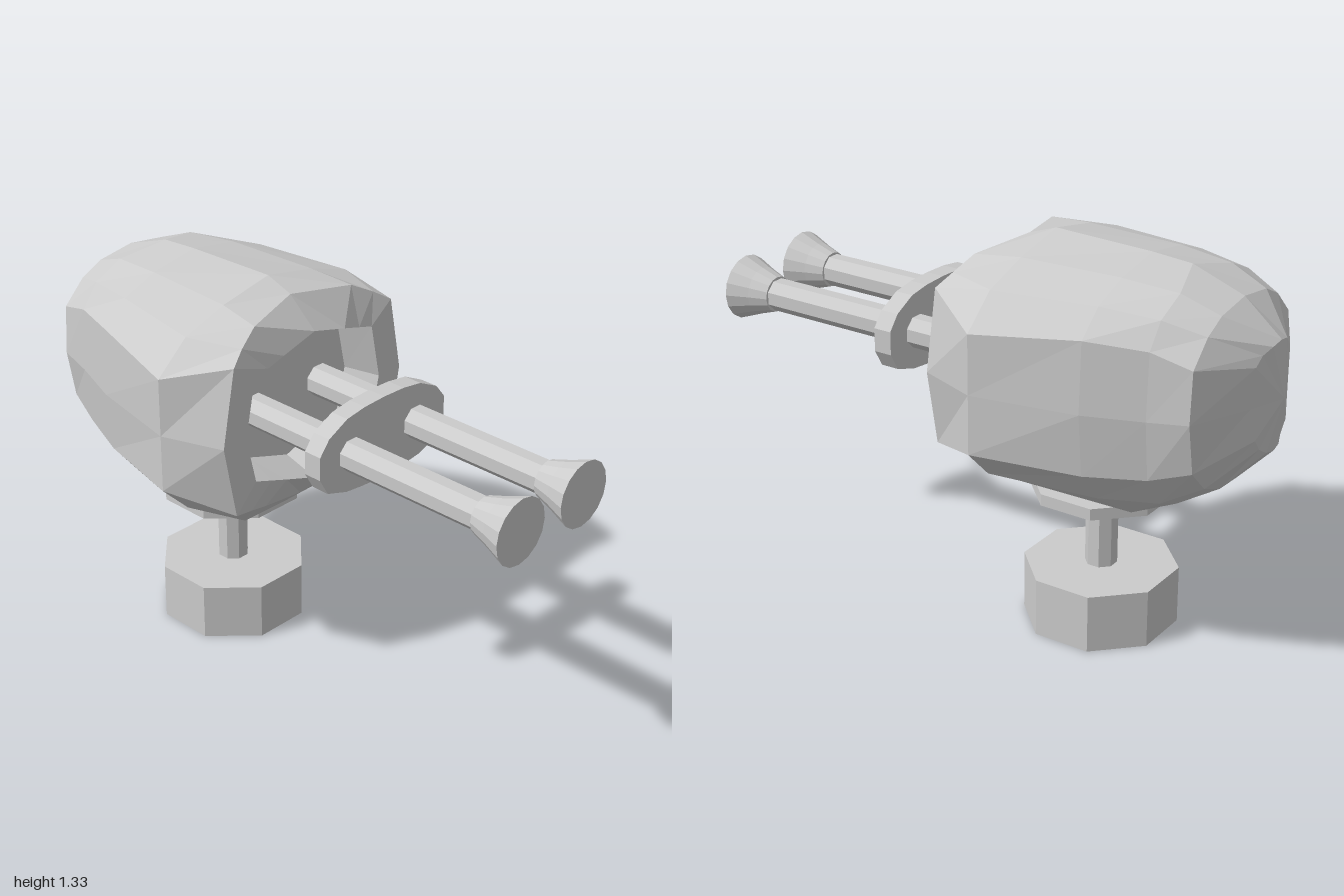
import * as THREE from 'three';

const mat = new THREE.MeshStandardMaterial({ color: 0xcccccc, flatShading: true });

function add(parent, name, geometry, x = 0, y = 0, z = 0) {
  const mesh = new THREE.Mesh(geometry, mat);
  mesh.name = name;
  mesh.position.set(x, y, z);
  parent.add(mesh);
  return mesh;
}

// Octagonal prism with its flat sides square to the axes
function octagon(topR, bottomR, height) {
  const k = 1 / Math.cos(Math.PI / 8);
  return new THREE.CylinderGeometry(topR * k, bottomR * k, height, 8, 1, false, Math.PI / 8);
}

// Half section, top to bottom, as [x, y, optional z], mirrored to a closed ring
function ring(z, half) {
  const pts = half.map(([x, y, pz = z]) => [x, y, pz]);
  const mirrored = pts.slice(1, -1).reverse().map(([x, y, pz]) => [-x, y, pz]);
  return [...pts, ...mirrored];
}

// Skin over rings ordered front to back; first and last rings are single points
function skin(rings) {
  const n = rings[0].length;
  const pos = [];
  for (let r = 0; r < rings.length - 1; r++) {
    for (let i = 0; i < n; i++) {
      const j = (i + 1) % n;
      const a = rings[r][i], b = rings[r][j], c = rings[r + 1][j], d = rings[r + 1][i];
      if (r < rings.length - 2) pos.push(...b, ...c, ...d);
      if (r > 0) pos.push(...a, ...b, ...d);
    }
  }
  const g = new THREE.BufferGeometry();
  g.setAttribute('position', new THREE.Float32BufferAttribute(pos, 3));
  g.computeVertexNormals();
  return g;
}

function headGeometry() {
  const lip = [[0, 1.195], [0.14, 1.157], [0.21, 1.137], [0.27, 1.12], [0.31, 0.925],
    [0.27, 0.755], [0.2, 0.73], [0.13, 0.705], [0, 0.66]];
  const recess = lip.map(([x, y]) => [x * 0.9, 0.925 + (y - 0.925) * 0.86]);
  const point = (y, z) => ring(z, lip.map(() => [0, y]));
  return skin([
    // sunken face and its raised lip
    point(0.925, -0.1),
    ring(-0.1, recess),
    ring(0.028, lip),
    ring(0.03, [[0, 1.29, -0.08], [0.22, 1.27, -0.02], [0.3, 1.228, 0.005], [0.36, 1.19], [0.41, 0.925],
      [0.36, 0.665], [0.28, 0.645, 0.015], [0.2, 0.623, 0], [0, 0.575, -0.04]]),
    // widest section, then tapering to the back
    ring(-0.18, [[0, 1.325], [0.2, 1.285], [0.365, 1.23], [0.485, 1.125], [0.485, 0.925],
      [0.485, 0.725], [0.38, 0.62], [0.18, 0.508, -0.12], [0, 0.505, -0.12]]),
    ring(-0.53, [[0, 1.315], [0.18, 1.285], [0.31, 1.235], [0.4, 1.155], [0.41, 0.92],
      [0.39, 0.71], [0.3, 0.6], [0.17, 0.51, -0.58], [0, 0.505, -0.6]]),
    ring(-0.72, [[0, 1.305, -0.67], [0.16, 1.27], [0.27, 1.22], [0.33, 1.14], [0.34, 0.92],
      [0.32, 0.72], [0.24, 0.61], [0.13, 0.565], [0, 0.55]]),
    ring(-0.85, [[0, 1.24], [0.14, 1.22], [0.22, 1.18], [0.3, 1.1], [0.31, 0.93],
      [0.28, 0.76], [0.2, 0.68], [0.1, 0.64], [0, 0.635]]),
    ring(-0.96, [[0, 1.13, -0.98], [0.045, 1.12, -0.975], [0.08, 1.1], [0.11, 1.07, -0.955], [0.12, 0.94, -0.95],
      [0.1, 0.83], [0.07, 0.79], [0.04, 0.77, -0.97], [0, 0.765, -0.975]]),
    point(0.945, -1),
  ]);
}

// Thin plate that ties the two stalks together
function plateGeometry() {
  const half = [[0, 1.07], [0.09, 1.067], [0.17, 1.055], [0.25, 1.015], [0.29, 0.965],
    [0.29, 0.885], [0.255, 0.825], [0.17, 0.797], [0.09, 0.788], [0, 0.785]];
  const shape = new THREE.Shape(ring(0, half).map(([x, y]) => new THREE.Vector2(x, y)));
  return new THREE.ExtrudeGeometry(shape, { depth: 0.065, bevelEnabled: false });
}

export function createModel() {
  const model = new THREE.Group();
  model.name = 'stalkEyedHead';

  add(model, 'head', headGeometry());
  add(model, 'stalkPlate', plateGeometry(), 0, 0, 0.265);

  // Eye stalks with flared ends
  for (const side of [-1, 1]) {
    const stalk = new THREE.Group();
    stalk.name = side > 0 ? 'leftEyeStalk' : 'rightEyeStalk';
    stalk.position.set(side * 0.15, 0.925, 0);
    const rod = add(stalk, 'rod', octagon(0.052, 0.052, 0.98), 0, 0, 0.38);
    const profile = [[0, 0.86], [0.062, 0.86], [0.083, 0.925], [0.112, 1], [0, 1]]
      .map(([r, h]) => new THREE.Vector2(r, h));
    const cup = add(stalk, 'flaredEye', new THREE.LatheGeometry(profile, 16));
    rod.rotation.x = cup.rotation.x = Math.PI / 2;
    model.add(stalk);
  }

  // Neck and foot
  add(model, 'neckFlange', octagon(0.225, 0.225, 0.04), 0, 0.49, -0.37);
  add(model, 'flangeUnderside', octagon(0.225, 0.05, 0.015), 0, 0.4625, -0.37);
  add(model, 'neck', octagon(0.05, 0.05, 0.28), 0, 0.33, -0.37);
  add(model, 'base', octagon(0.24, 0.24, 0.2), 0, 0.1, -0.37);

  return model;
}
